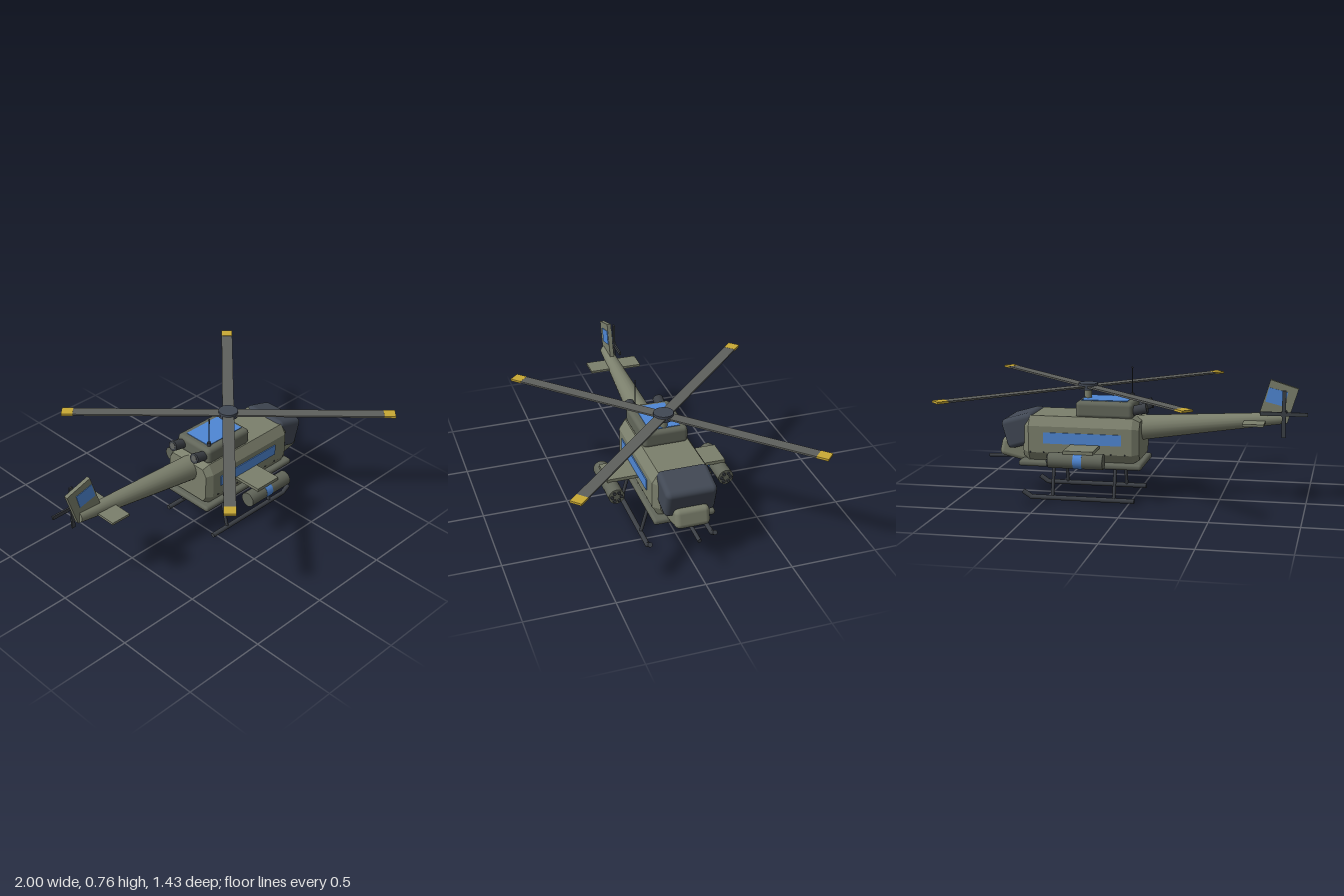
import * as THREE from 'three';
import { RoundedBoxGeometry } from 'three/addons/geometries/RoundedBoxGeometry.js';

const paint = (name, color) => {
  const m = new THREE.MeshStandardMaterial({ color });
  m.name = name;
  return m;
};

export function createModel() {
  const olive = paint('olive', 0x7b7f6c);
  const darkOlive = paint('dark olive', 0x62665a);
  const glass = paint('dark glass', 0x414854);
  const metal = paint('gunmetal', 0x3b3f45);
  const bladeGrey = paint('blade grey', 0x5e605d);
  const blue = paint('blue', 0x4f87d4);
  const yellow = paint('yellow', 0xc9a935);

  const model = new THREE.Group();
  model.name = 'helicopter';

  const add = (name, geometry, material, x = 0, y = 0, z = 0, parent = model) => {
    const mesh = new THREE.Mesh(geometry, material);
    mesh.name = name;
    mesh.position.set(x, y, z);
    parent.add(mesh);
    return mesh;
  };
  const box = (name, mat, w, h, d, x, y, z, parent) =>
    add(name, new THREE.BoxGeometry(w, h, d), mat, x, y, z, parent);
  const rounded = (name, mat, w, h, d, r, x, y, z) =>
    add(name, new RoundedBoxGeometry(w, h, d, 2, r), mat, x, y, z);
  // Round bar from point a to point b
  const rod = (name, mat, a, b, ra, rb = ra, sides = 16) => {
    const A = new THREE.Vector3(...a), B = new THREE.Vector3(...b);
    const dir = B.clone().sub(A);
    const mesh = add(name, new THREE.CylinderGeometry(rb, ra, dir.length(), sides), mat);
    mesh.position.copy(A).add(B).multiplyScalar(0.5);
    mesh.quaternion.setFromUnitVectors(new THREE.Vector3(0, 1, 0), dir.normalize());
    return mesh;
  };

  // Hull: chamfered cross-section swept along x, narrowed at the nose
  const section = new THREE.Shape([
    [-0.14, 0.222], [0.14, 0.222], [0.171, 0.275], [0.171, 0.43],
    [0.135, 0.486], [-0.135, 0.486], [-0.171, 0.43], [-0.171, 0.275],
  ].map(p => new THREE.Vector2(...p)));
  const hull = new THREE.ExtrudeGeometry(section, {
    depth: 0.61, bevelThickness: 0.04, bevelSize: 0.022, bevelOffset: -0.022, bevelSegments: 1,
  });
  hull.rotateY(Math.PI / 2).translate(-0.01, 0, 0);
  const pos = hull.attributes.position;
  for (let i = 0; i < pos.count; i++) if (pos.getX(i) > 0.62) pos.setZ(i, pos.getZ(i) * 0.92);
  hull.computeVertexNormals();
  add('hull', hull, olive);
  rounded('belly plate', darkOlive, 0.73, 0.036, 0.356, 0.016, 0.297, 0.208, 0);

  // Cockpit, nose and gun
  rounded('canopy', glass, 0.2, 0.18, 0.292, 0.03, 0.66, 0.39, 0).rotation.z = -0.28;
  rounded('nose', olive, 0.24, 0.115, 0.2, 0.03, 0.675, 0.266, 0).rotation.z = 0.22;
  rod('gun barrel', metal, [0.66, 0.216, 0], [0.89, 0.209, 0], 0.011);

  // Engine housing, roof panel and exhausts
  rounded('engine housing', darkOlive, 0.34, 0.1, 0.264, 0.025, 0.16, 0.526, 0);
  box('roof panel', blue, 0.27, 0.006, 0.18, 0.165, 0.577, 0);
  for (const s of [1, -1]) {
    rod('exhaust', metal, [0.03, 0.517, s * 0.088], [-0.085, 0.544, s * 0.088], 0.027, 0.031);
    rod('exhaust mouth', bladeGrey, [-0.08, 0.543, s * 0.088], [-0.087, 0.5445, s * 0.088], 0.019);
  }

  // Antenna
  rod('antenna base', metal, [0.035, 0.56, 0.088], [0.035, 0.598, 0.088], 0.012);
  rod('antenna', metal, [0.035, 0.59, 0.088], [0.035, 0.752, 0.088], 0.003, 0.003, 8);
  add('antenna tip', new THREE.SphereGeometry(0.006, 10, 8), metal, 0.035, 0.75, 0.088);

  // Main rotor
  rod('rotor mast', olive, [0.28, 0.56, 0], [0.28, 0.64, 0], 0.022);
  rod('rotor hub', glass, [0.28, 0.63, 0], [0.28, 0.666, 0], 0.057, 0.057, 24);
  const rotor = new THREE.Group();
  rotor.name = 'main rotor';
  rotor.position.set(0.28, 0.647, 0);
  model.add(rotor);
  for (let i = 0; i < 4; i++) {
    const arm = new THREE.Group();
    arm.name = 'blade arm';
    arm.rotation.y = Math.PI / 4 + i * Math.PI / 2;
    rotor.add(arm);
    box('blade', bladeGrey, 0.91, 0.01, 0.068, 0.455, 0, 0, arm);
    box('blade tip', yellow, 0.067, 0.012, 0.069, 0.9435, 0, 0, arm);
  }

  // Tail boom, stabiliser and fin
  rod('tail boom', olive, [0, 0.409, 0], [-0.87, 0.499, 0], 0.075, 0.033, 20);
  box('stabiliser', olive, 0.122, 0.014, 0.314, -0.7, 0.477, 0);
  const fin = new THREE.Group();
  fin.name = 'tail fin';
  fin.position.set(-0.832, 0.593, 0);
  fin.rotation.z = 0.3;
  model.add(fin);
  box('fin', olive, 0.168, 0.21, 0.024, 0, 0, 0, fin);
  for (const s of [1, -1]) {
    const mark = box('fin panel', blue, 0.112, 0.085, 0.004, 0.02, 0.022, s * 0.0135, fin);
    mark.rotation.z = -0.06;
  }

  // Tail rotor on the right side
  rod('tail rotor hub', metal, [-0.865, 0.53, 0], [-0.865, 0.53, -0.065], 0.018);
  box('tail rotor blade', metal, 0.27, 0.022, 0.01, -0.865, 0.53, -0.055);
  box('tail rotor blade', metal, 0.022, 0.27, 0.01, -0.865, 0.53, -0.055);

  // Stub wings
  box('stub wings', olive, 0.172, 0.019, 0.7, 0.263, 0.321, 0);

  for (const s of [1, -1]) {
    // Side stripe and rivets
    box('side stripe', blue, 0.46, 0.065, 0.008, 0.28, 0.363, s * 0.173);
    for (let x = 0.03; x < 0.62; x += 0.08)
      add('rivet', new THREE.SphereGeometry(0.005, 8, 6), metal, x, 0.277, s * 0.17);

    // Pod with a painted band and a ring of tubes
    const y = 0.27, z = s * 0.323;
    rod('pod', darkOlive, [0.12, y, z], [0.437, y, z], 0.045, 0.045, 20);
    rod('pod band', blue, [0.24, y, z], [0.29, y, z], 0.0465, 0.0465, 20);
    box('pod mount', darkOlive, 0.12, 0.02, 0.03, 0.263, 0.308, z);
    for (let i = 0; i < 6; i++) {
      const a = i * Math.PI / 3, ty = y + 0.027 * Math.sin(a), tz = z + 0.027 * Math.cos(a);
      rod('pod tube', metal, [0.42, ty, tz], [0.446, ty, tz], 0.0095, 0.0095, 10);
    }

    // Landing skid with upturned front
    const zs = s * 0.191;
    rod('skid', metal, [-0.03, 0.014, zs], [0.58, 0.014, zs], 0.014);
    add('skid bend', new THREE.SphereGeometry(0.014, 12, 8), metal, 0.58, 0.014, zs);
    rod('skid toe', metal, [0.58, 0.014, zs], [0.63, 0.047, zs], 0.014);
    for (const x of [0.09, 0.455])
      rod('skid strut', metal, [x, 0.2, s * 0.142], [x, 0.016, zs], 0.01, 0.01, 12);
  }
  return model;
}
